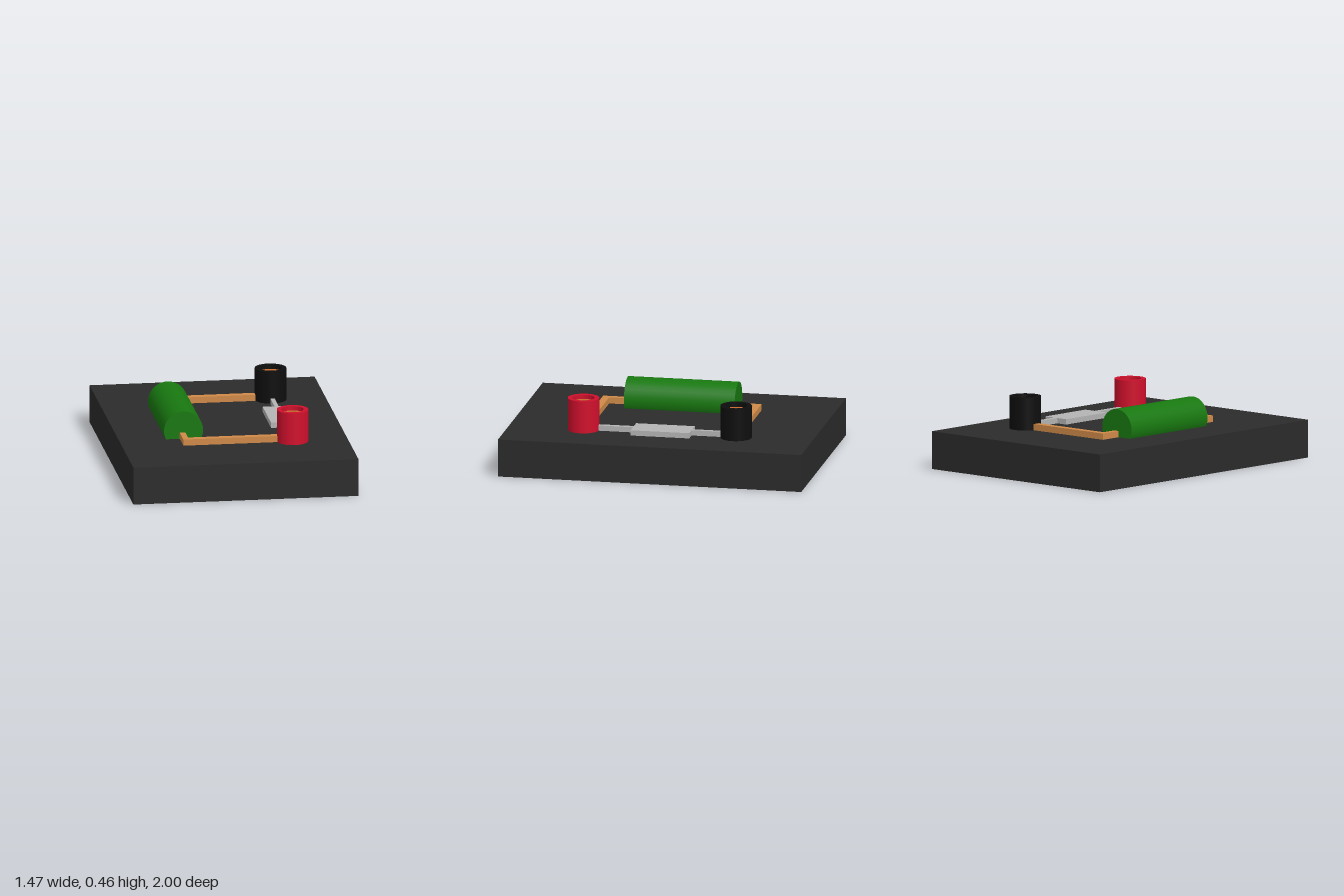
import * as THREE from 'three';

const paint = (color) => new THREE.MeshStandardMaterial({ color });
const mats = {
  base: paint(0x2b2b2b),
  black: paint(0x0e0e0e),
  red: paint(0xd0102c),
  copper: paint(0xd08a48),
  ring: paint(0xcb6d30),
  green: paint(0x187810),
  grey: paint(0xb4b4b4),
};
const TOP = 0.247; // upper face of the base

export function createModel() {
  const model = new THREE.Group();

  const add = (name, geometry, material, x = 0, y = 0, z = 0) => {
    const mesh = new THREE.Mesh(geometry, material);
    mesh.name = name;
    mesh.position.set(x, y, z);
    model.add(mesh);
    return mesh;
  };

  // Box given by its limits on each axis
  const block = (name, material, [x0, x1], [y0, y1], [z0, z1]) =>
    add(name, new THREE.BoxGeometry(x1 - x0, y1 - y0, z1 - z0), material,
      (x0 + x1) / 2, (y0 + y1) / 2, (z0 + z1) / 2);

  // Upright tube with sharp rims; each wall is its own strip of the lathe
  const tube = (name, material, inner, outer, height, z) => {
    const p = (r, y) => new THREE.Vector2(r, y);
    const corners = [p(inner, 0), p(outer, 0), p(outer, height), p(inner, height), p(inner, 0)];
    const group = new THREE.Group();
    group.name = name;
    for (let i = 0; i < 4; i++) {
      group.add(new THREE.Mesh(new THREE.LatheGeometry([corners[i], corners[i + 1]], 40), material));
    }
    group.position.set(0.375, TOP, z);
    model.add(group);
  };

  block('base', mats.base, [-0.735, 0.735], [0, TOP], [-1, 1]);

  // Large component, lying partly sunk into the base
  add('greenCylinder', new THREE.CylinderGeometry(0.128, 0.128, 0.73, 32), mats.green, -0.315, 0.302, -0.01)
    .rotation.x = Math.PI / 2;

  // Bent copper wires from the cylinder ends to the terminals
  const wireY = [TOP, 0.288];
  block('frontWire', mats.copper, [-0.34, 0.3], wireY, [0.475, 0.522]);
  block('frontWireEnd', mats.copper, [-0.34, -0.303], wireY, [0.34, 0.475]);
  block('backWire', mats.copper, [-0.33, 0.3], wireY, [-0.525, -0.477]);
  block('backWireEnd', mats.copper, [-0.33, -0.293], wireY, [-0.477, -0.36]);

  // Flat component with its two leads
  const flatY = [TOP, 0.282];
  block('flatComponent', mats.grey, [0.282, 0.465], flatY, [-0.207, 0.18]);
  block('frontLead', mats.grey, [0.355, 0.387], flatY, [0.18, 0.42]);
  block('backLead', mats.grey, [0.36, 0.387], flatY, [-0.42, -0.207]);

  // Terminals: outer sleeve with a recessed copper ring
  for (const [side, material, z] of [['front', mats.red, 0.508], ['back', mats.black, -0.498]]) {
    tube(side + 'TerminalSleeve', material, 0.072, 0.102, 0.213, z);
    tube(side + 'TerminalRing', mats.ring, 0.047, 0.072, 0.185, z);
  }
  // Floor of the front terminal
  add('frontTerminalFloor', new THREE.CylinderGeometry(0.047, 0.047, 0.04, 32), mats.red, 0.375, TOP + 0.02, 0.508);

  return model;
}
